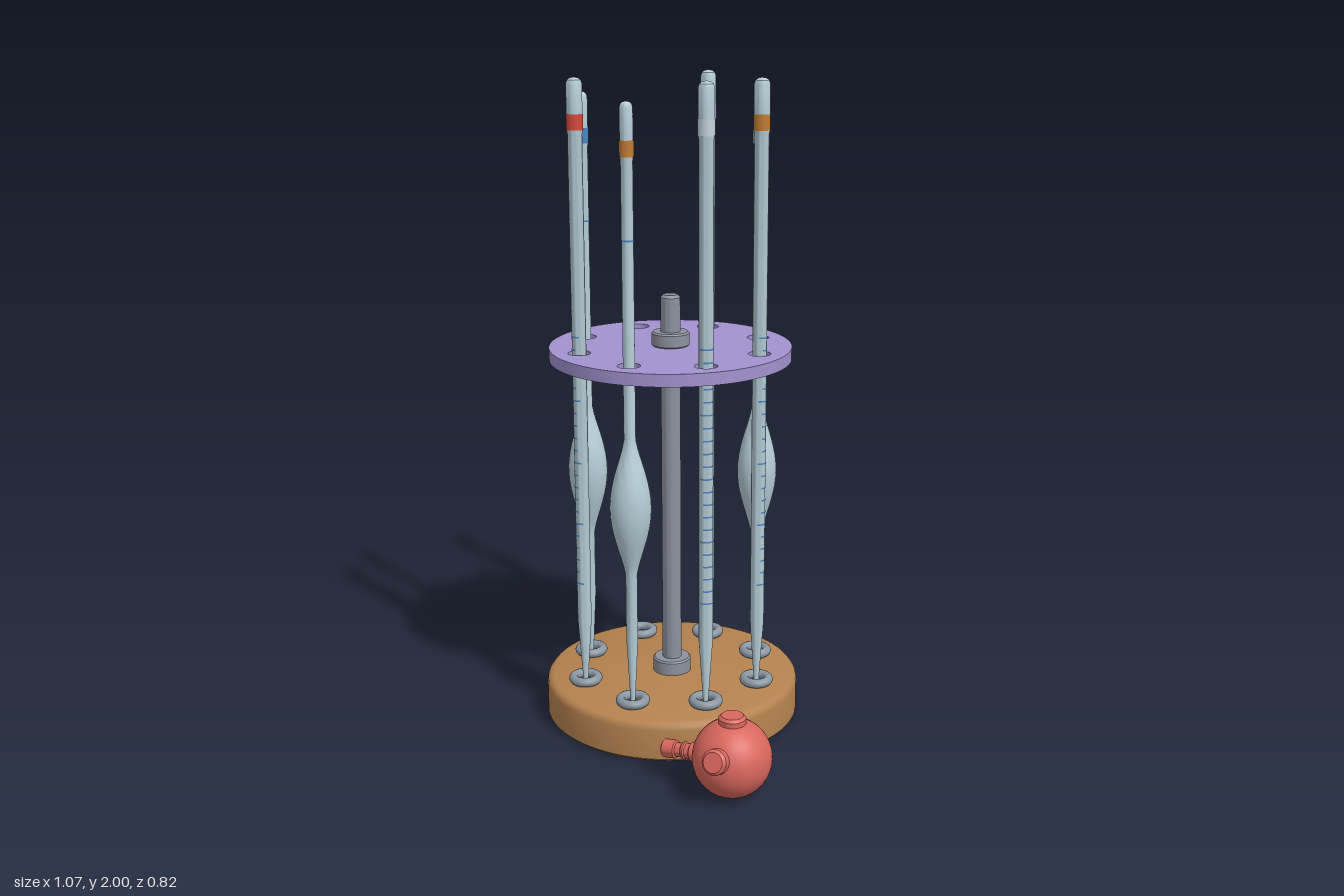
import * as THREE from 'three';
import { toCreasedNormals } from 'three/addons/utils/BufferGeometryUtils.js';

const mat = (name, color) => new THREE.MeshStandardMaterial({ name, color });

export function createModel() {
  const wood = mat('wood', 0xb5824f);
  const violet = mat('violet', 0xa392cf);
  const steel = mat('steel', 0x8d929c);
  const ringGrey = mat('ringGrey', 0x8b98a2);
  const glass = mat('glass', 0xb6cdd7);
  const rubber = mat('rubber', 0xd9675d);
  const red = mat('red', 0xd4483a);
  const blue = mat('blue', 0x4a84c4);
  const orange = mat('orange', 0xc07a34);
  const pale = mat('pale', 0xc3d2da);

  const model = new THREE.Group();
  const stand = new THREE.Group();
  stand.name = 'stand';
  stand.position.set(-0.135, 0, -0.01);
  model.add(stand);

  const add = (parent, name, geometry, material, x = 0, y = 0, z = 0) => {
    const mesh = new THREE.Mesh(geometry, material);
    mesh.name = name;
    mesh.position.set(x, y, z);
    parent.add(mesh);
    return mesh;
  };
  // Turned part from [radius, height] pairs, bottom to top
  const turned = (pairs, segments = 32) => toCreasedNormals(
    new THREE.LatheGeometry(pairs.map(([r, y]) => new THREE.Vector2(r, y)), segments), 0.6);
  // Cylinder with softened rims, standing on y0
  const collar = (r, y0, y1, b = 0.005) => turned(
    [[0, y0], [r - b, y0], [r, y0 + b], [r, y1 - b], [r - b, y1], [0, y1]]);

  // Base, rod and collars
  add(stand, 'base', turned([[0, 0], [0.392, 0], [0.4, 0.008], [0.4, 0.1], [0.397, 0.113],
    [0.39, 0.121], [0.378, 0.125], [0, 0.125]], 96), wood);
  add(stand, 'rod', collar(0.03, 0.12, 1.35, 0.008), steel);
  add(stand, 'footCollar', collar(0.06, 0.12, 0.17), steel);
  add(stand, 'lowerCollar', collar(0.058, 1.11, 1.155), steel);
  add(stand, 'upperCollar', collar(0.058, 1.192, 1.237), steel);

  // Eight places around the stand
  const ringRadius = 0.291;
  const places = [...Array(8).keys()].map((i) => {
    const a = Math.PI / 8 + i * Math.PI / 4;
    return { x: ringRadius * Math.cos(a), z: ringRadius * Math.sin(a) };
  });

  // Holed plate
  const disc = new THREE.Shape().absarc(0, 0, 0.37, 0, Math.PI * 2, false);
  places.forEach(({ x, z }) =>
    disc.holes.push(new THREE.Path().absarc(x, z, 0.034, 0, Math.PI * 2, true)));
  const plate = new THREE.ExtrudeGeometry(disc, { depth: 0.038, bevelEnabled: false, curveSegments: 48 });
  plate.rotateX(-Math.PI / 2);
  add(stand, 'holedPlate', toCreasedNormals(plate, 0.6), violet, 0, 1.155, 0);

  // Resting rings on the base
  const ring = new THREE.TorusGeometry(0.038, 0.0145, 12, 32).rotateX(Math.PI / 2);
  places.forEach(({ x, z }) => add(stand, 'restingRing', ring, ringGrey, x, 0.141, z));

  const band = (r, h, start = 0, length = Math.PI * 2) =>
    new THREE.CylinderGeometry(r, r, h, 24, 1, true, start, length);
  const roundTop = (r, y) => [[r, y - 0.018], [r * 0.85, y - 0.008], [r * 0.5, y - 0.002], [0, y]];

  // Straight pipette with outward facing graduations
  function graduatedPipette(x, z, colour) {
    const g = new THREE.Group();
    g.name = 'graduatedPipette';
    g.position.set(x, 0, z);
    add(g, 'tube', turned([[0, 0.135], [0.008, 0.135], [0.01, 0.17], [0.0215, 0.34],
      [0.0215, 1.84], [0.0235, 1.85], ...roundTop(0.0235, 2)], 24), glass);
    add(g, 'colourBand', band(0.0248, 0.046), colour, 0, 1.874, 0);
    const facing = Math.atan2(x, z);
    for (let i = 0; i <= 20; i++) {
      const arc = i % 5 === 0 ? 2.6 : 1.5;
      add(g, 'graduation', band(0.0225, 0.005, facing - arc / 2, arc), blue, 0, 0.465 + i * 0.039, 0);
    }
    stand.add(g);
  }

  // Pipette with a swollen middle and one fill line
  function bulbPipette(x, z, colour) {
    const g = new THREE.Group();
    g.name = 'bulbPipette';
    g.position.set(x, 0, z);
    const r = 0.0175;
    const swell = [];
    for (let i = 0; i <= 16; i++) {
      const t = i / 16;
      swell.push([r + 0.0445 * Math.sin(Math.PI * t) ** 1.3, 0.55 + 0.42 * t]);
    }
    add(g, 'tube', turned([[0, 0.135], [0.007, 0.135], [0.009, 0.17], [r, 0.34], ...swell,
      [r, 1.78], [0.019, 1.79], ...roundTop(0.019, 1.945)], 28), glass);
    add(g, 'colourBand', band(0.0212, 0.046), colour, 0, 1.815, 0);
    add(g, 'fillLine', band(r + 0.001, 0.005), blue, 0, 1.557, 0);
    stand.add(g);
  }

  // Place 4 (back right of the stand's own side) stays empty
  const contents = [
    [graduatedPipette, pale], [bulbPipette, orange], [graduatedPipette, red], [bulbPipette, blue],
    null, [graduatedPipette, violet], [bulbPipette, pale], [graduatedPipette, orange],
  ];
  contents.forEach((c, i) => c && c[0](places[i].x, places[i].z, c[1]));

  // Rubber filler lying beside the stand
  const filler = new THREE.Group();
  filler.name = 'pipetteFiller';
  filler.position.set(0.415, 0.116, 0.27);
  model.add(filler);
  add(filler, 'fillerBall', new THREE.SphereGeometry(0.116, 40, 28), rubber);
  const aim = (mesh, x, y, z) => mesh.quaternion.setFromUnitVectors(
    new THREE.Vector3(0, 1, 0), new THREE.Vector3(x, y, z).normalize());
  const valve = collar(0.04, 0.08, 0.132, 0.008);
  add(filler, 'topValve', valve, rubber);
  aim(add(filler, 'sideValve', collar(0.037, 0.08, 0.142, 0.008), rubber), 0.042, 0.04, 0.11);
  const nozzle = turned([[0, 0.08], [0.028, 0.08], [0.028, 0.128], [0.023, 0.132], [0.023, 0.146],
    [0.026, 0.15], [0.026, 0.156], [0.021, 0.16], [0.021, 0.178], [0.027, 0.181],
    [0.027, 0.218], [0.023, 0.222], [0, 0.222]], 24);
  aim(add(filler, 'nozzle', nozzle, rubber), -0.2, -0.02, 0.07);

  return model;
}
